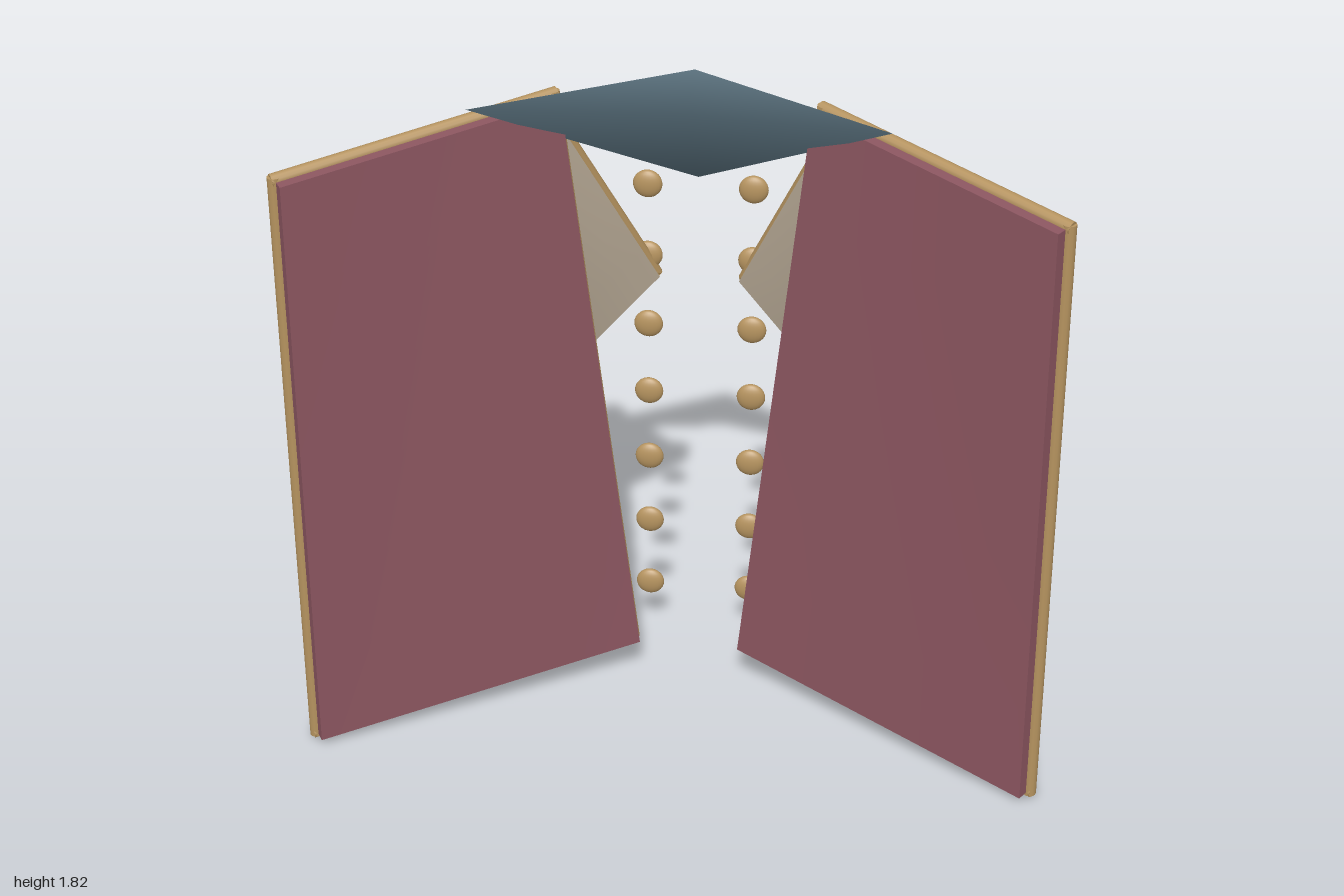
import * as THREE from 'three';

const mat = (name, color) => {
  const m = new THREE.MeshStandardMaterial({ color });
  m.name = name;
  return m;
};

export function createModel() {
  const root = new THREE.Group();
  root.name = 'openCoat';
  const wine = mat('wineCloth', 0x8c5660);
  const brass = mat('brassPiping', 0xb5935f);
  const cream = mat('creamLining', 0xb8aa96);
  const slate = mat('slateCloth', 0x546a76);
  const dark = mat('darkThread', 0x3a3f45);

  const add = (parent, name, geo, m) => {
    const mesh = new THREE.Mesh(geo, m);
    mesh.name = name;
    parent.add(mesh);
    return mesh;
  };

  // Mirror a quad to the chosen side, keeping its corner order
  // (lower left, lower right, upper right, upper left as seen from +z)
  const quad = (side, pts) => {
    const v = pts.map(([x, y, z]) => new THREE.Vector3(side * x, y, z));
    return side > 0 ? v : [v[1], v[0], v[3], v[2]];
  };

  // Four-cornered slab, thickened towards +z
  const slab = (c, thick) => {
    const geo = new THREE.BoxGeometry(1, 1, 1, 6, 6, 1);
    const n = new THREE.Vector3().subVectors(c[2], c[0])
      .cross(new THREE.Vector3().subVectors(c[3], c[1])).normalize();
    const pos = geo.attributes.position;
    const low = new THREE.Vector3(), high = new THREE.Vector3();
    for (let i = 0; i < pos.count; i++) {
      const u = pos.getX(i) + 0.5, v = pos.getY(i) + 0.5, w = pos.getZ(i) + 0.5;
      low.lerpVectors(c[0], c[1], u);
      high.lerpVectors(c[3], c[2], u);
      low.lerp(high, v).addScaledVector(n, w * thick);
      pos.setXYZ(i, low.x, low.y, low.z);
    }
    geo.computeVertexNormals();
    return geo;
  };

  // Round piping along the four edges
  const piping = (parent, name, c, r) => {
    const up = new THREE.Vector3(0, 1, 0);
    c.forEach((a, i) => {
      const b = c[(i + 1) % 4];
      const dir = new THREE.Vector3().subVectors(b, a);
      const tube = add(parent, name, new THREE.CylinderGeometry(r, r, dir.length() + r, 12), brass);
      tube.position.addVectors(a, b).multiplyScalar(0.5);
      tube.quaternion.setFromUnitVectors(up, dir.normalize());
    });
  };

  const parts = [
    { name: 'frontPanel', m: wine, thick: 0.05, r: 0.018,
      pts: [[0.165, 0.105, -0.15], [0.98, 0.02, 0.315], [0.97, 1.7, 0.325], [0.345, 1.79, -0.085]] },
    { name: 'lapel', m: cream, thick: 0.03, r: 0.018,
      pts: [[0.125, 1.17, -0.345], [0.44, 0.825, -0.28], [0.715, 1.66, 0.165], [0.375, 1.725, -0.15]] },
    { name: 'pocketFlap', m: slate, thick: 0.05, r: 0.018,
      pts: [[0.545, 0.31, -0.015], [0.92, 0.325, 0.22], [0.925, 0.475, 0.215], [0.55, 0.44, -0.005]] },
  ];

  for (const side of [1, -1]) {
    const half = new THREE.Group();
    half.name = side > 0 ? 'leftSide' : 'rightSide';
    root.add(half);

    for (const p of parts) {
      const c = quad(side, p.pts);
      add(half, p.name, slab(c, p.thick), p.m);
      piping(half, p.name + 'Piping', c, p.r);
    }

    // Row of buttons with a small stem and thread knot
    for (let i = 0; i < 7; i++) {
      const button = new THREE.Group();
      button.name = 'button';
      button.position.set(side * 0.143, 0.16 + i * 0.212, -0.343);
      add(button, 'buttonDisc', new THREE.SphereGeometry(0.04, 20, 14), brass).scale.z = 0.45;
      add(button, 'buttonKnot', new THREE.SphereGeometry(0.011, 10, 8), dark).position.z = -0.023;
      half.add(button);
    }
  }

  // Collar: a folded wedge with softly shaded front and flat back
  const collar = new THREE.Group();
  collar.name = 'collar';
  root.add(collar);
  const points = [
    -0.53, 1.82, 0.11, // right tip
    0.53, 1.82, 0.11, // left tip
    0, 1.82, -0.22, // top of the neck
    0, 1.76, -0.07, // front fold
    0, 1.48, -0.3, // lower point
  ];
  const shell = (name, index) => {
    const geo = new THREE.BufferGeometry();
    geo.setAttribute('position', new THREE.Float32BufferAttribute(points, 3));
    geo.setIndex(index);
    geo.computeVertexNormals();
    add(collar, name, geo, slate);
  };
  shell('collarFront', [0, 3, 2, 3, 1, 2, 0, 4, 3, 4, 1, 3]);
  shell('collarBack', [0, 2, 4, 2, 1, 4]);

  return root;
}
